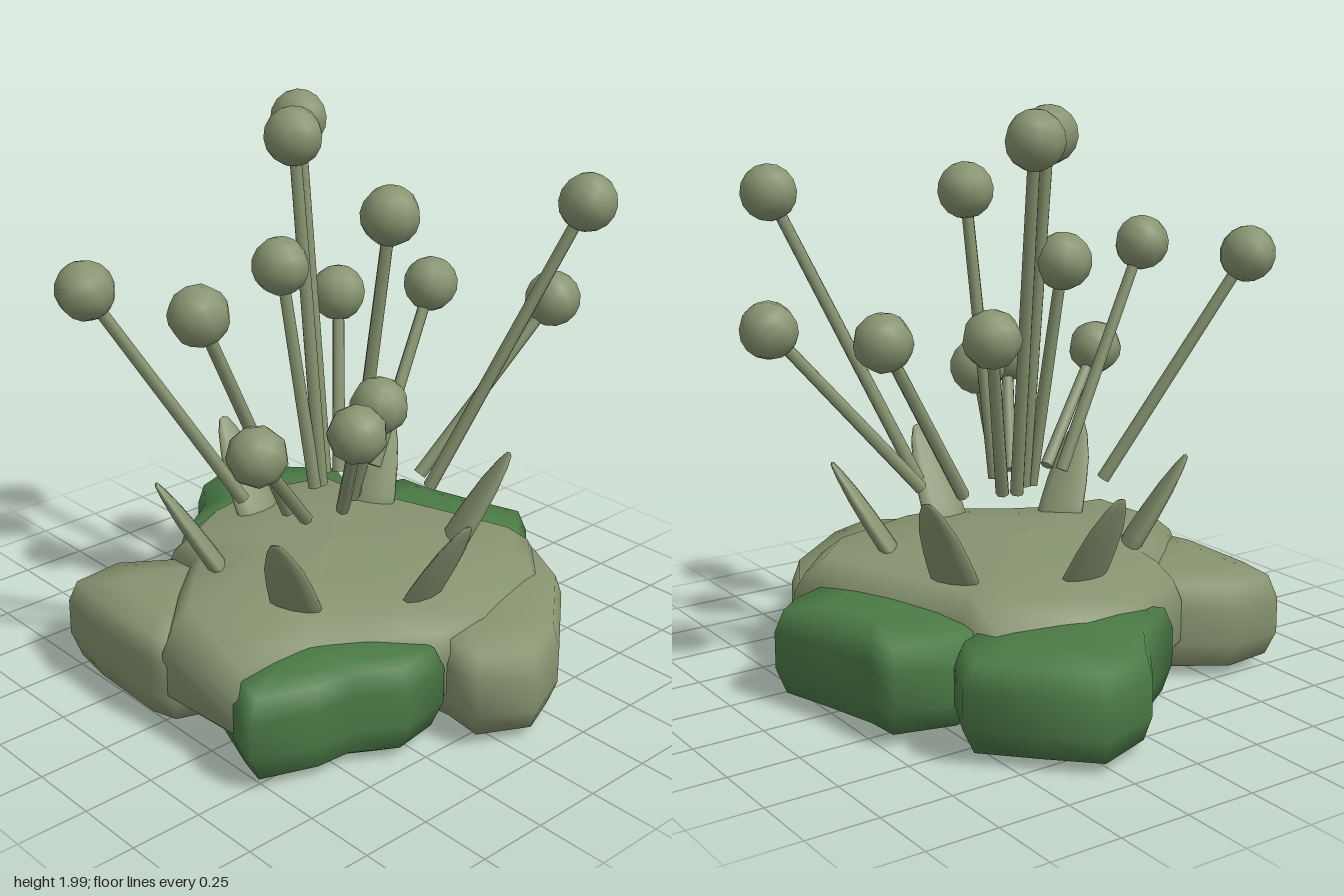
import * as THREE from 'three';

const light = new THREE.MeshStandardMaterial({ color: 0x879470 });
const dark = new THREE.MeshStandardMaterial({ color: 0x4b7a46 });

// Rounded pad: a plan outline [x, z], swept through a profile of [scale, y] from bottom to top
function pad(name, outline, profile, material) {
  const n = outline.length;
  const cx = outline.reduce((s, p) => s + p[0], 0) / n;
  const cz = outline.reduce((s, p) => s + p[1], 0) / n;
  const positions = [], index = [];
  for (const [scale, y] of profile) {
    for (const [x, z] of outline) {
      positions.push(cx + (x - cx) * scale, y, cz + (z - cz) * scale);
    }
  }
  for (let r = 0; r < profile.length - 1; r++) {
    for (let i = 0; i < n; i++) {
      const a = r * n + i, b = r * n + (i + 1) % n;
      if (r < profile.length - 2) index.push(a, a + n, b + n);
      else index.push(a, a + n, b);
      if (r > 0 && r < profile.length - 2) index.push(a, b + n, b);
    }
  }
  const geometry = new THREE.BufferGeometry();
  geometry.setAttribute('position', new THREE.Float32BufferAttribute(positions, 3));
  geometry.setIndex(index);
  geometry.computeVertexNormals();
  const mesh = new THREE.Mesh(geometry, material);
  mesh.name = name;
  return mesh;
}

const bodyProfile = [[0, 0.025], [0.5, 0.03], [0.88, 0.06], [1, 0.15], [1, 0.3], [0.95, 0.37], [0.85, 0.43], [0.45, 0.452], [0, 0.475]];
const lobeProfile = [[0, 0.005], [0.5, 0.012], [0.9, 0.045], [1, 0.13], [1, 0.26], [0.91, 0.34], [0.5, 0.36], [0, 0.37]];

const bodyOutline = [
  [-0.79, 0.05], [-0.6, -0.15], [-0.43, -0.3], [-0.4, -0.44], [-0.15, -0.57], [0.12, -0.61],
  [0.43, -0.51], [0.44, -0.33], [0.52, -0.1], [0.6, 0.15], [0.67, 0.4], [0.5, 0.58],
  [0.1, 0.7], [-0.12, 0.68], [-0.32, 0.54], [-0.5, 0.45], [-0.77, 0.42],
];

const lobes = [
  ['frontLobe', light, [[-0.11, 0.5], [0.05, 0.25], [0.35, 0.15], [0.62, 0.2], [0.68, 0.4], [0.57, 0.61], [0.27, 0.86], [0.08, 0.94], [-0.11, 0.84], [-0.09, 0.68]]],
  ['leftLobe', dark, [[0.2, -0.1], [0.3, -0.36], [0.5, -0.44], [0.73, -0.38], [0.74, -0.25], [0.8, -0.02], [0.86, 0.18], [0.76, 0.27], [0.6, 0.34], [0.3, 0.2]]],
  ['backLobe', dark, [[-0.27, -0.55], [-0.05, -0.7], [0.07, -0.86], [0.3, -0.94], [0.46, -0.78], [0.62, -0.61], [0.53, -0.42], [0.2, -0.25], [-0.1, -0.3]]],
  ['backRightLobe', light, [[-0.8, -0.35], [-0.77, -0.53], [-0.56, -0.55], [-0.4, -0.44], [-0.15, -0.3], [-0.2, 0], [-0.5, 0.2], [-0.78, 0.1], [-0.81, 0]]],
  ['frontRightLobe', dark, [[-0.78, 0.42], [-0.7, 0.2], [-0.35, 0.15], [-0.1, 0.4], [-0.11, 0.69], [-0.3, 0.72], [-0.46, 0.62], [-0.6, 0.61], [-0.81, 0.53]]],
];

// Stalks: ball centre x, y, z, then foot x, z
const stalkFootY = 0.67;
const stalks = [
  [-0.77, 1.47, -0.32, -0.32, -0.09], [-0.65, 1.47, 0.12, -0.27, 0.09], [-0.13, 1.47, -0.1, -0.07, 0],
  [-0.06, 1.9, -0.11, -0.04, 0], [0.13, 1.9, -0.3, 0.04, -0.07], [0.03, 1.69, 0.26, -0.01, 0.14],
  [0.63, 1.69, 0.58, 0.23, 0.27], [0.25, 1.26, -0.23, 0.08, -0.04], [0.57, 1.26, -0.08, 0.21, 0.01],
  [0.77, 1.26, 0.33, 0.28, 0.17], [-0.6, 1.05, 0.33, -0.26, 0.17], [-0.25, 1.05, 0.41, -0.12, 0.2],
  [-0.03, 1.05, 0.28, -0.03, 0.15],
];

export function createModel() {
  const model = new THREE.Group();
  model.name = 'spottedPlant';

  // Central cushion with overlapping lobes
  model.add(pad('body', bodyOutline, bodyProfile, light));
  for (const [name, material, outline] of lobes) model.add(pad(name, outline, lobeProfile, material));

  // Ring of six flattened spikes leaning outwards
  const spikeProfile = [[0.0, 0], [0.09, 0], [0.09, 0.12], [0.082, 0.22], [0.068, 0.32], [0.042, 0.41], [0.02, 0.455], [0, 0.462]]
    .map(([r, y]) => new THREE.Vector2(r, y));
  const spikeGeometry = new THREE.LatheGeometry(spikeProfile, 10);
  spikeGeometry.scale(1, 1, 0.36);
  const spikes = new THREE.Group();
  spikes.name = 'spikes';
  spikes.position.set(-0.03, 0.36, 0.07);
  for (let i = 0; i < 6; i++) {
    const angle = i * Math.PI / 3;
    const spike = new THREE.Mesh(spikeGeometry, light);
    spike.name = 'spike';
    spike.position.set(Math.sin(angle) * 0.39, 0, Math.cos(angle) * 0.39);
    spike.rotation.set(0.55, angle, 0, 'YXZ');
    // No spikes on the two sides: the four diagonals sit at 60 degree steps
    spikes.add(spike);
  }
  model.add(spikes);

  // Thin stalks topped by balls
  const ballGeometry = new THREE.SphereGeometry(0.1, 9, 8);
  const up = new THREE.Vector3(0, 1, 0);
  for (const [x, y, z, footX, footZ] of stalks) {
    const foot = new THREE.Vector3(footX, stalkFootY, footZ);
    const top = new THREE.Vector3(x, y, z);
    const along = top.clone().sub(foot);
    const stalk = new THREE.Group();
    stalk.name = 'stalk';
    stalk.position.copy(foot);
    stalk.quaternion.setFromUnitVectors(up, along.clone().normalize());
    const stem = new THREE.Mesh(new THREE.CylinderGeometry(0.021, 0.024, along.length(), 7), light);
    stem.name = 'stem';
    stem.position.y = along.length() / 2;
    const ball = new THREE.Mesh(ballGeometry, light);
    ball.name = 'ball';
    ball.position.y = along.length();
    stalk.add(stem, ball);
    model.add(stalk);
  }
  return model;
}
